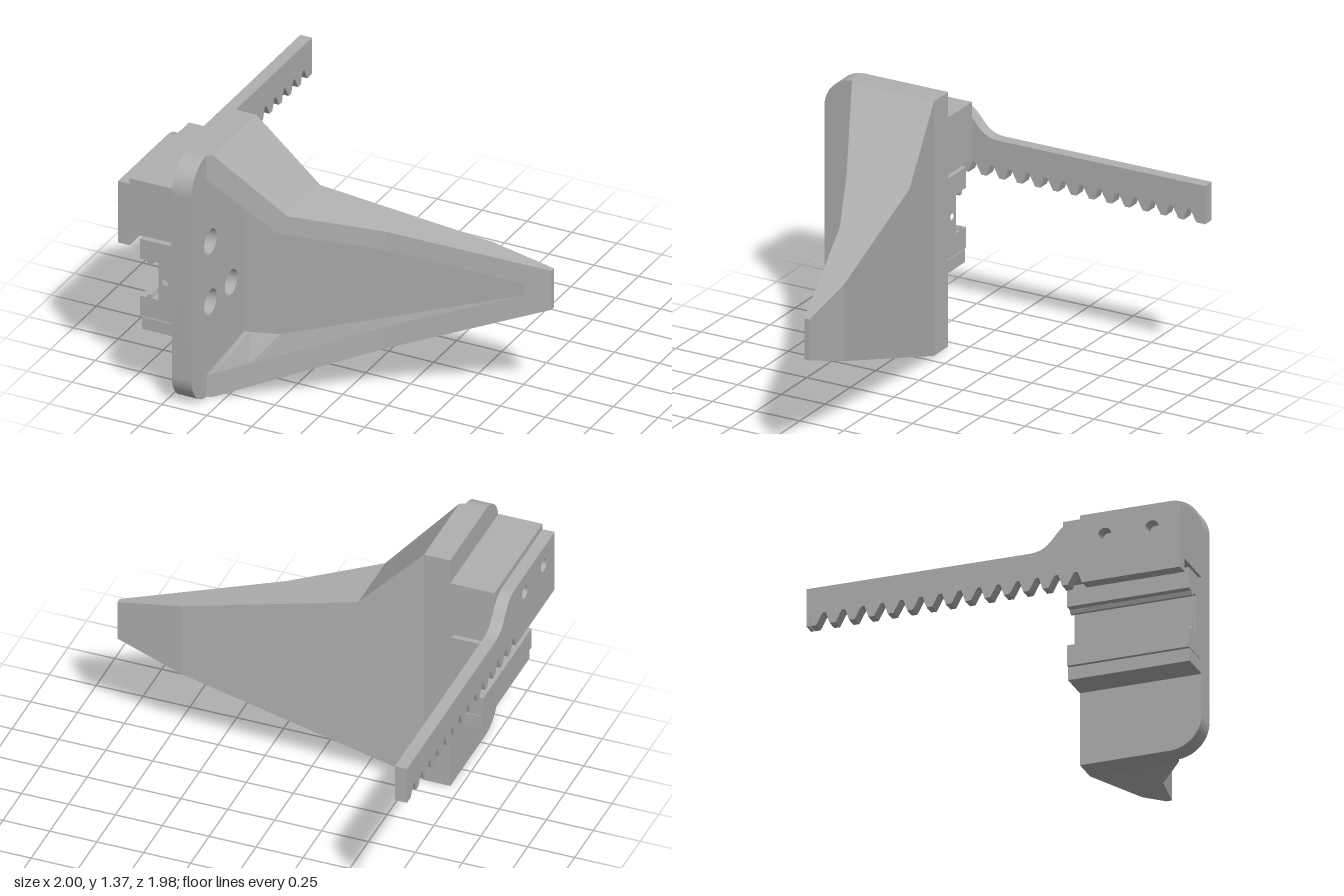
import * as THREE from 'three';
import { toCreasedNormals } from 'three/addons/utils/BufferGeometryUtils.js';

const grey = new THREE.MeshStandardMaterial({ color: 0xb0b0b0 });
grey.name = 'plain grey';

function add(group, name, geometry) {
  const mesh = new THREE.Mesh(geometry, grey);
  mesh.name = name;
  group.add(mesh);
  return mesh;
}

function box(group, name, x0, x1, y0, y1, z0, z1) {
  const mesh = add(group, name, new THREE.BoxGeometry(x1 - x0, y1 - y0, z1 - z0));
  mesh.position.set((x0 + x1) / 2, (y0 + y1) / 2, (z0 + z1) / 2);
}

function circleHole(shape, x, y, r) {
  const hole = new THREE.Path();
  hole.absarc(x, y, r, 0, Math.PI * 2, true);
  shape.holes.push(hole);
}

// Side profile (drawn with -z as its horizontal axis) pushed along x
function extrudeAlongX(shape, x0, x1) {
  const g = new THREE.ExtrudeGeometry(shape, { depth: x1 - x0, bevelEnabled: false, curveSegments: 16 });
  g.rotateY(Math.PI / 2);
  g.translate(x0, 0, 0);
  return toCreasedNormals(g, 0.6);
}

// Piecewise linear curve through [x, value] points
function along(points, x) {
  if (x <= points[0][0]) return points[0][1];
  for (let i = 1; i < points.length; i++) {
    const [xa, a] = points[i - 1], [xb, b] = points[i];
    if (x <= xb) return a + (b - a) * (x - xa) / (xb - xa);
  }
  return points[points.length - 1][1];
}

// Tapered tray: C-shaped cross-sections joined along x
function jawGeometry() {
  const top = [[-0.56, 1.365], [-0.23, 1.025], [1, 0.795]];
  const bottom = [[-0.56, 0], [1, 0.575]];
  const innerTop = [[-0.59, 1.23], [-0.28, 0.93], [0.87, 0.71], [1, 0.685]];
  const innerBottom = [[-0.59, 0.12], [0.87, 0.645], [1, 0.685]];
  const floorTop = [[-0.59, 1.05], [-0.4, 1.01], [-0.28, 0.93], [0.87, 0.71], [1, 0.685]];
  const floorBottom = [[-0.59, 0.17], [-0.4, 0.188], [0.87, 0.645], [1, 0.685]];
  const front = [[-0.59, 0.83], [0.21, 0.44], [1, 0.185]];
  const floor = [[-0.59, 0.42], [0.87, 0.227], [1, 0.185]];
  const back = [[-0.56, 0.345], [0.66, 0.155]];
  const section = [[top, back], [top, front], [innerTop, front], [floorTop, floor],
    [floorBottom, floor], [innerBottom, front], [bottom, front], [bottom, back]];
  const stations = [-0.59, -0.56, -0.4, -0.28, -0.23, 0.21, 0.66, 0.87, 1];
  const n = section.length, pos = [], idx = [];
  for (const x of stations) for (const [y, z] of section) pos.push(x, along(y, x), along(z, x));
  for (let i = 0; i < stations.length - 1; i++) {
    for (let j = 0; j < n; j++) {
      const a = i * n + j, b = i * n + (j + 1) % n;
      idx.push(a, b, b + n, a, b + n, a + n);
    }
  }
  const e = (stations.length - 1) * n;
  idx.push(e + 7, e, e + 1, e + 7, e + 1, e + 6);
  const g = new THREE.BufferGeometry();
  g.setAttribute('position', new THREE.Float32BufferAttribute(pos, 3));
  g.setIndex(idx);
  return toCreasedNormals(g, 0.1);
}

// Mounting plate with rounded front corners and three bolt holes
function plateGeometry() {
  const s = new THREE.Shape();
  const h = 1.365, f = -0.99, r = 0.17;
  s.moveTo(-0.345, 0);
  s.lineTo(-0.345, h);
  s.lineTo(f + r, h);
  s.absarc(f + r, h - r, r, Math.PI / 2, Math.PI, false);
  s.lineTo(f, r);
  s.absarc(f + r, r, r, Math.PI, Math.PI * 1.5, false);
  s.closePath();
  for (const [z, y] of [[0.785, 0.855], [0.785, 0.515], [0.56, 0.515]]) circleHole(s, -z, y, 0.068);
  return extrudeAlongX(s, -0.7, -0.59);
}

// Toothed rack with a swept-up, drilled mounting end
function rackGeometry() {
  const s = new THREE.Shape();
  const low = 0.848, root = 0.91, pitch = 0.1026;
  s.moveTo(-0.99, low);
  s.lineTo(-0.47, low);
  for (let z = 0.41; z > -0.96; z -= pitch) {
    s.lineTo(-z - 0.036, root);
    s.lineTo(-z - 0.018, root);
    s.lineTo(-z + 0.016, low);
    s.lineTo(-z + 0.046, low);
  }
  s.lineTo(0.965, root);
  s.lineTo(0.975, low);
  s.lineTo(0.99, low);
  s.lineTo(0.99, 1.053);
  s.lineTo(-0.19, 1.05);
  s.bezierCurveTo(-0.34, 1.05, -0.31, 1.195, -0.46, 1.195);
  s.lineTo(-0.99, 1.195);
  s.closePath();
  circleHole(s, -0.84, 1.09, 0.036);
  circleHole(s, -0.59, 1.09, 0.036);
  return extrudeAlongX(s, -1, -0.935);
}

// Channel rail with inward hooks on both lips
function railGeometry() {
  const mid = 0.683;
  const half = [[-0.775, 0.105], [-0.81, 0.105], [-0.815, 0.085], [-0.832, 0.085],
    [-0.84, 0.105], [-0.877, 0.105], [-0.877, 0.217], [-0.705, 0.217]];
  const pts = [
    ...half.map(([x, d]) => new THREE.Vector2(x, mid + d)),
    ...half.slice().reverse().map(([x, d]) => new THREE.Vector2(x, mid - d)),
  ];
  const s = new THREE.Shape(pts);
  circleHole(s, -0.737, mid, 0.016);
  const g = new THREE.ExtrudeGeometry(s, { depth: 0.645, bevelEnabled: false });
  g.translate(0, 0, 0.345);
  return g;
}

export function createModel() {
  const model = new THREE.Group();
  model.name = 'rackMountedJaw';
  add(model, 'jaw', jawGeometry());
  add(model, 'mountingPlate', plateGeometry());
  add(model, 'rack', rackGeometry());
  box(model, 'rackBlock', -0.935, -0.7, 0.92, 1.227, 0.345, 0.99);
  add(model, 'channelRail', railGeometry());
  box(model, 'railWebBacking', -0.71, -0.7, 0.46, 0.92, 0.355, 0.98);
  box(model, 'railLedge', -0.865, -0.7, 0.393, 0.462, 0.345, 0.99);
  return model;
}
